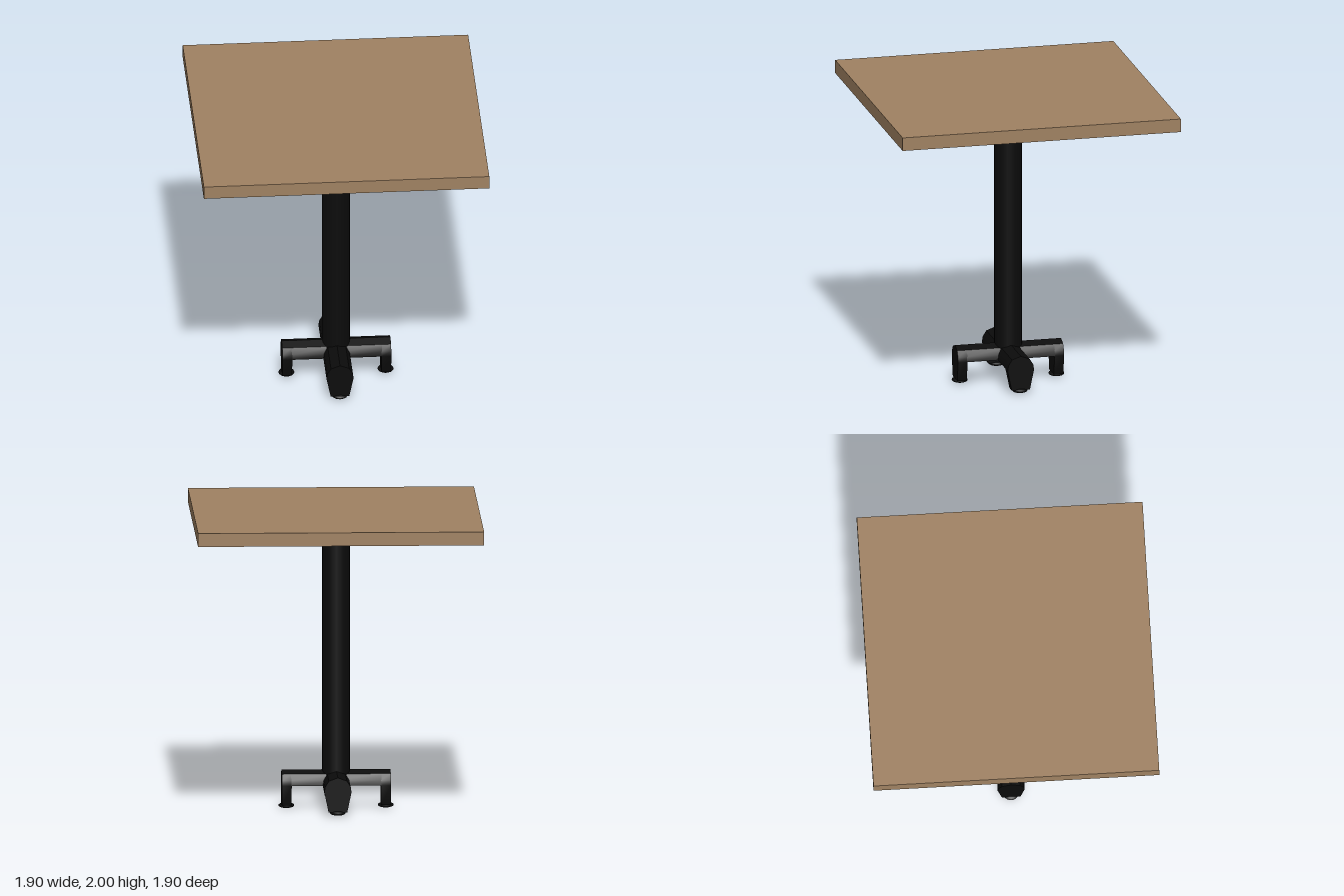
import * as THREE from 'three';
import { toCreasedNormals } from 'three/addons/utils/BufferGeometryUtils.js';

const wood = new THREE.MeshStandardMaterial({ color: 0xa08262 });
wood.name = 'wood';
const blackMetal = new THREE.MeshStandardMaterial({ color: 0x0b0b0b });
blackMetal.name = 'blackMetal';

function add(parent, name, geometry, material, x = 0, y = 0, z = 0) {
  const mesh = new THREE.Mesh(geometry, material);
  mesh.name = name;
  mesh.position.set(x, y, z);
  parent.add(mesh);
  return mesh;
}

// Extrudes a (width, height) cross-section along z, with soft shading on shallow edges
function bar(points, length) {
  const shape = new THREE.Shape(points.map(([x, y]) => new THREE.Vector2(x, y)));
  const geometry = new THREE.ExtrudeGeometry(shape, { depth: length, bevelEnabled: false });
  return toCreasedNormals(geometry, 0.6);
}

export function createModel() {
  const model = new THREE.Group();
  model.name = 'pedestalTable';

  // Square top and round column
  add(model, 'tableTop', new THREE.BoxGeometry(1.9, 0.09, 1.9), wood, 0, 1.955, 0);
  add(model, 'column', new THREE.CylinderGeometry(0.092, 0.092, 1.75, 24), blackMetal, 0, 1.035, 0);

  // Domed arm section, and the same dome continued down into a tapered leg
  const dome = [[0.09, 0.16], [0.085, 0.195], [0.06, 0.235], [0, 0.257],
    [-0.06, 0.235], [-0.085, 0.195], [-0.09, 0.16]];
  const armGeometry = bar(dome, 0.3);
  const legGeometry = bar([[-0.062, 0.025], [0.062, 0.025], ...dome], 0.065);
  const padGeometry = new THREE.SphereGeometry(0.053, 20, 10).scale(1, 0.34, 1);

  // Four arms in a cross, each with a leg and a levelling pad
  for (let i = 0; i < 4; i++) {
    const foot = new THREE.Group();
    foot.name = 'foot' + (i + 1);
    foot.rotation.y = i * Math.PI / 2;
    add(foot, 'arm', armGeometry, blackMetal);
    add(foot, 'leg', legGeometry, blackMetal, 0, 0, 0.297);
    add(foot, 'pad', padGeometry, blackMetal, 0, 0.018, 0.33);
    model.add(foot);
  }
  return model;
}
